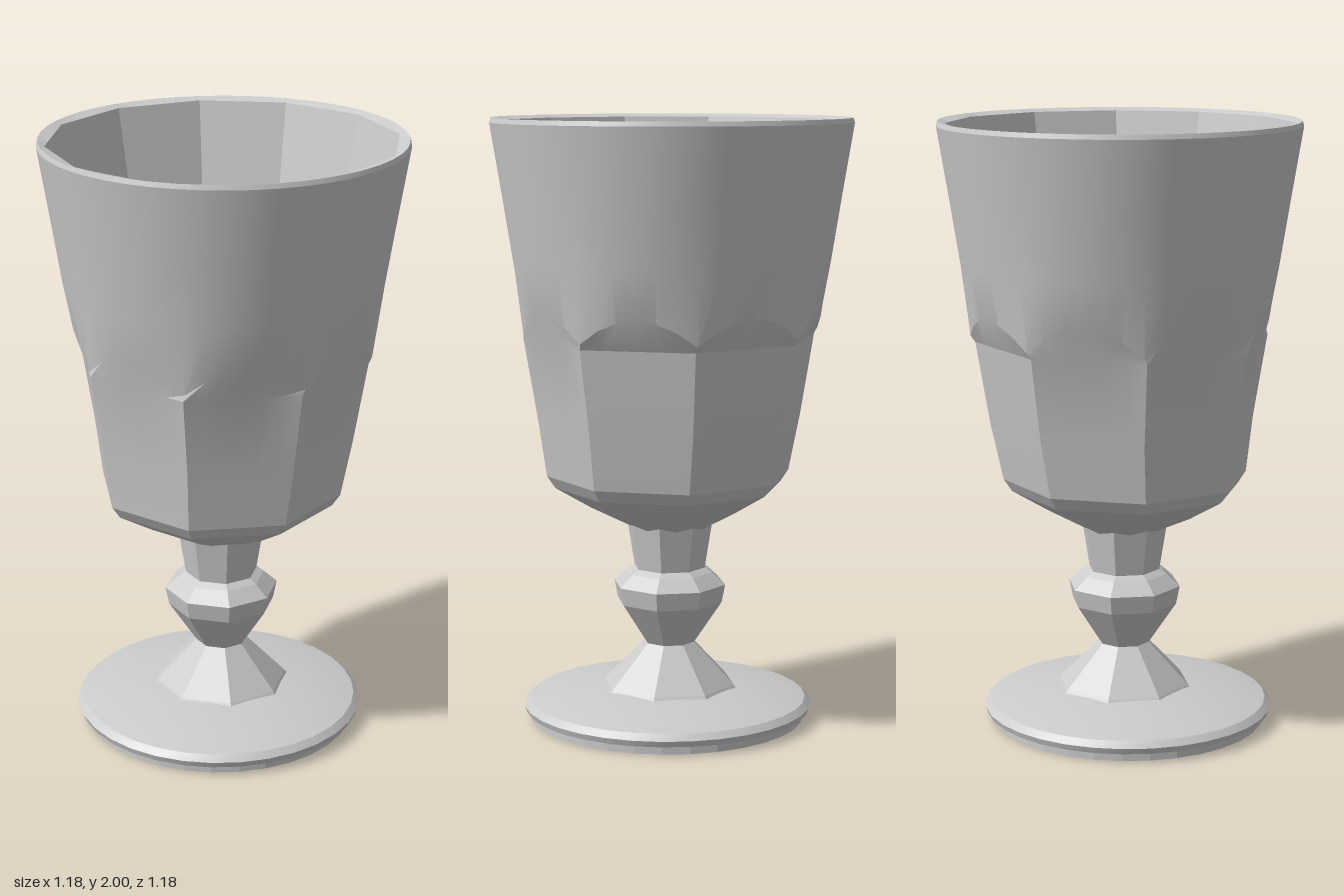
import * as THREE from 'three';
import { toCreasedNormals } from 'three/addons/utils/BufferGeometryUtils.js';

const material = new THREE.MeshStandardMaterial({ color: 0xcccccc });

// Lofts rings { y, r, sides, x, arch }. r is the apothem; without sides a ring is round.
// arch lifts the ring over the middle of each of the eight panels.
function loft(name, rings, segments, crease = 0.3) {
  const point = ({ y, r, sides = 0, x = 0, arch = 0 }, i) => {
    const a = (i / segments) * Math.PI * 2;
    const offset = n => a - Math.round(a / (Math.PI * 2 / n)) * (Math.PI * 2 / n);
    const radius = sides ? r / Math.cos(offset(sides)) : r;
    const d = offset(8) / (Math.PI / 8);
    return [x + Math.sin(a) * radius, y + arch * (1 - d * d), Math.cos(a) * radius];
  };
  const positions = [];
  for (let k = 0; k < rings.length - 1; k++) {
    const low = rings[k], high = rings[k + 1];
    for (let i = 0; i < segments; i++) {
      const a = point(low, i), b = point(low, i + 1), c = point(high, i + 1), d = point(high, i);
      if (low.r > 0) positions.push(...a, ...b, ...c);
      if (high.r > 0) positions.push(...a, ...c, ...d);
      else if (low.r > 0) continue;
    }
  }
  const geometry = new THREE.BufferGeometry();
  geometry.setAttribute('position', new THREE.Float32BufferAttribute(positions, 3));
  const mesh = new THREE.Mesh(toCreasedNormals(geometry, crease), material);
  mesh.name = name;
  return mesh;
}

export function createModel() {
  const goblet = new THREE.Group();
  goblet.name = 'goblet';

  // Bowl: panelled lower body, scalloped shelf, round upper body, faceted inside
  goblet.add(loft('bowl', [
    { y: 0.65, r: 0, x: -0.01 },
    { y: 0.65, r: 0.11, sides: 8, x: -0.01 },
    { y: 0.72, r: 0.24, sides: 8, x: -0.02 },
    { y: 0.79, r: 0.35, sides: 8, x: -0.02 },
    { y: 0.83, r: 0.375, sides: 8, x: -0.02 },
    { y: 1.02, r: 0.405, sides: 8, x: -0.01 },
    { y: 1.29, r: 0.447, sides: 8, x: -0.01 },
    { y: 1.31, r: 0.489, arch: 0.08 },
    { y: 1.54, r: 0.518 },
    { y: 1.76, r: 0.553 },
    { y: 1.985, r: 0.59 },
    { y: 2.0, r: 0.585 },
    { y: 1.99, r: 0.545, sides: 12 },
    { y: 1.5, r: 0.448, sides: 12 },
    { y: 1.02, r: 0.35, sides: 12 },
    { y: 0.85, r: 0.28, sides: 12 },
    { y: 0.77, r: 0.18, sides: 12 },
    { y: 0.76, r: 0 },
  ], 48));

  // Stem: tapered neck, knob, waist and flared skirt
  goblet.add(loft('stem', [
    { y: 0.08, r: 0.25 },
    { y: 0.12, r: 0.22 },
    { y: 0.26, r: 0.085 },
    { y: 0.4, r: 0.178 },
    { y: 0.46, r: 0.19 },
    { y: 0.5, r: 0.145 },
    { y: 0.515, r: 0.12 },
    { y: 0.7, r: 0.15 },
  ].map(ring => ({ ...ring, sides: 8, x: -0.015 })), 8, 0.1));

  // Foot: shallow disc with a rounded edge
  goblet.add(loft('foot', [
    { y: 0.03, r: 0 },
    { y: 0.03, r: 0.44 },
    { y: 0.03, r: 0.475 },
    { y: 0.05, r: 0.482 },
    { y: 0.07, r: 0.462 },
    { y: 0.085, r: 0.4 },
    { y: 0.115, r: 0.2 },
    { y: 0.12, r: 0 },
  ].map(ring => ({ ...ring, x: -0.028 })), 32));

  // Underside rim with a diamond recess
  const disc = new THREE.Shape().absarc(0, 0, 0.455, 0, Math.PI * 2);
  const corners = [[0.37, 0], [0, -0.37], [-0.37, 0], [0, 0.37]];
  disc.holes.push(new THREE.Path(corners.map(([x, y]) => new THREE.Vector2(x, y))));
  const base = new THREE.Mesh(
    new THREE.ExtrudeGeometry(disc, { depth: 0.032, bevelEnabled: false, curveSegments: 16 }), material);
  base.name = 'footUnderside';
  base.rotation.x = -Math.PI / 2;
  base.position.set(-0.028, 0, 0);
  goblet.add(base);

  return goblet;
}
